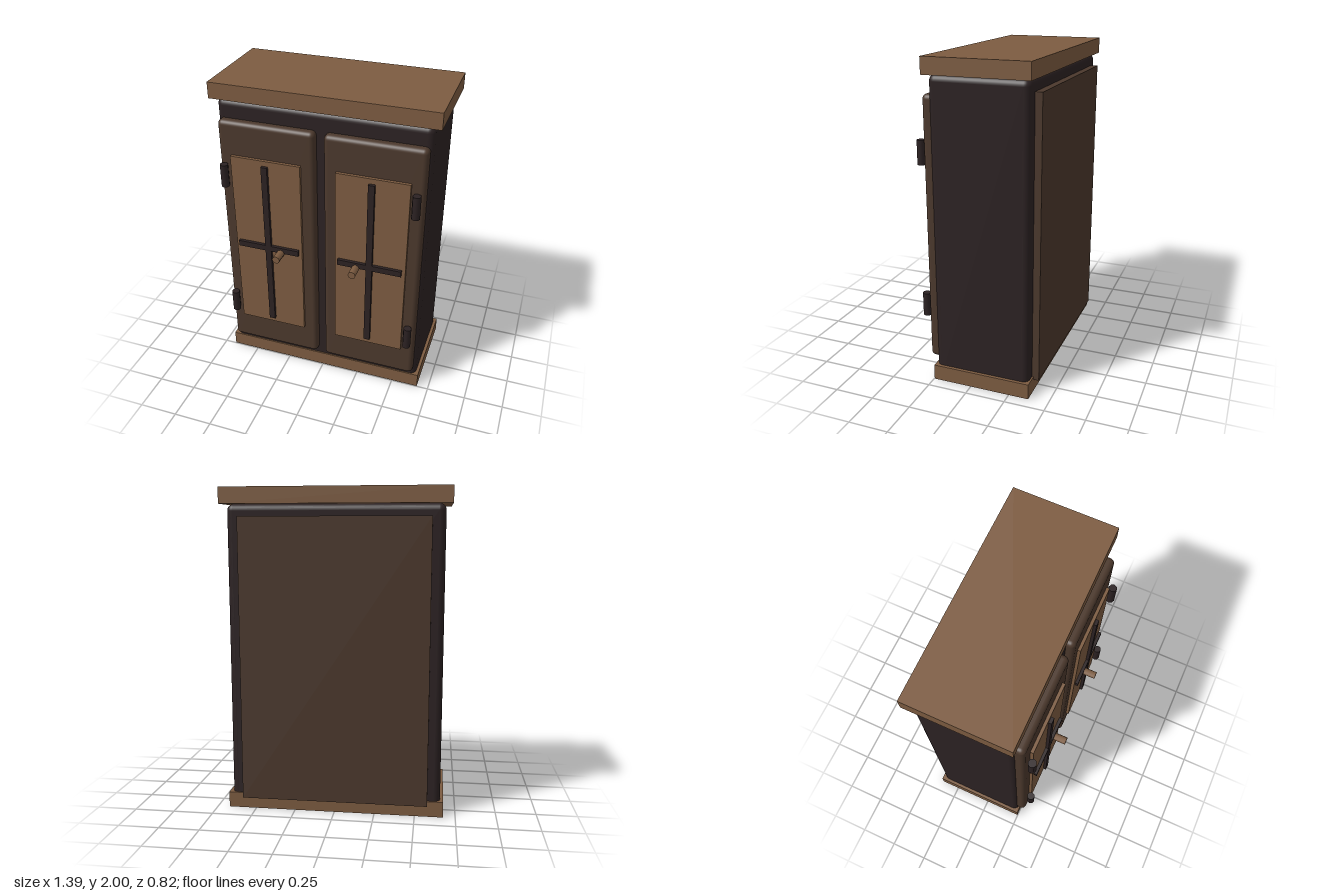
import * as THREE from 'three';
import { RoundedBoxGeometry } from 'three/addons/geometries/RoundedBoxGeometry.js';

const material = (name, color) => {
  const m = new THREE.MeshStandardMaterial({ color });
  m.name = name;
  return m;
};

export function createModel() {
  const lightWood = material('light wood', 0x7d5c41);
  const midWood = material('medium wood', 0x4c392d);
  const darkWood = material('dark wood', 0x2c2223);

  const cabinet = new THREE.Group();
  cabinet.name = 'cabinet';

  const add = (parent, name, geometry, mat, x, y, z) => {
    const mesh = new THREE.Mesh(geometry, mat);
    mesh.name = name;
    mesh.position.set(x, y, z);
    parent.add(mesh);
    return mesh;
  };

  // Box given by its [min, max] along each axis, with optional rounded edges
  const box = (parent, name, mat, [x0, x1], [y0, y1], [z0, z1], radius = 0) => {
    const size = [x1 - x0, y1 - y0, z1 - z0];
    const geometry = radius
      ? new RoundedBoxGeometry(...size, 4, radius)
      : new THREE.BoxGeometry(...size);
    return add(parent, name, geometry, mat, (x0 + x1) / 2, (y0 + y1) / 2, (z0 + z1) / 2);
  };

  // Carcass with its top, plinth and back panel
  box(cabinet, 'body', darkWood, [-0.655, 0.655], [0.01, 1.9], [-0.365, 0.238], 0.04);
  box(cabinet, 'topSlab', lightWood, [-0.695, 0.695], [1.9, 2], [-0.385, 0.255]);
  box(cabinet, 'plinth', lightWood, [-0.675, 0.675], [0, 0.097], [-0.375, 0.247]);
  box(cabinet, 'backPanel', midWood, [-0.577, 0.577], [0.077, 1.827], [-0.408, -0.358]);

  // Mirrored pair of doors
  for (const side of [-1, 1]) {
    const door = new THREE.Group();
    door.name = side > 0 ? 'leftDoor' : 'rightDoor';
    cabinet.add(door);
    const span = (a, b) => (side > 0 ? [a, b] : [-b, -a]);

    box(door, 'doorLeaf', midWood, span(0.028, 0.638), [0.138, 1.785], [0.208, 0.288], 0.03);
    box(door, 'doorPanel', lightWood, span(0.11, 0.557), [0.35, 1.57], [0.268, 0.308]);
    box(door, 'uprightBar', darkWood, span(0.313, 0.352), [0.39, 1.537], [0.298, 0.328]);
    box(door, 'crossBar', darkWood, span(0.13, 0.535), [0.942, 0.98], [0.298, 0.328]);

    // Knob pointing forward
    const knob = new THREE.CylinderGeometry(0.025, 0.025, 0.1, 8).rotateX(Math.PI / 2);
    add(door, 'knob', knob, lightWood, side * 0.248, 0.942, 0.358);

    // Barrel hinges on the outer edge
    for (const y of [0.475, 1.44]) {
      add(door, 'hinge', new THREE.CylinderGeometry(0.026, 0.026, 0.148, 8), darkWood, side * 0.597, y, 0.319);
    }
  }

  return cabinet;
}
